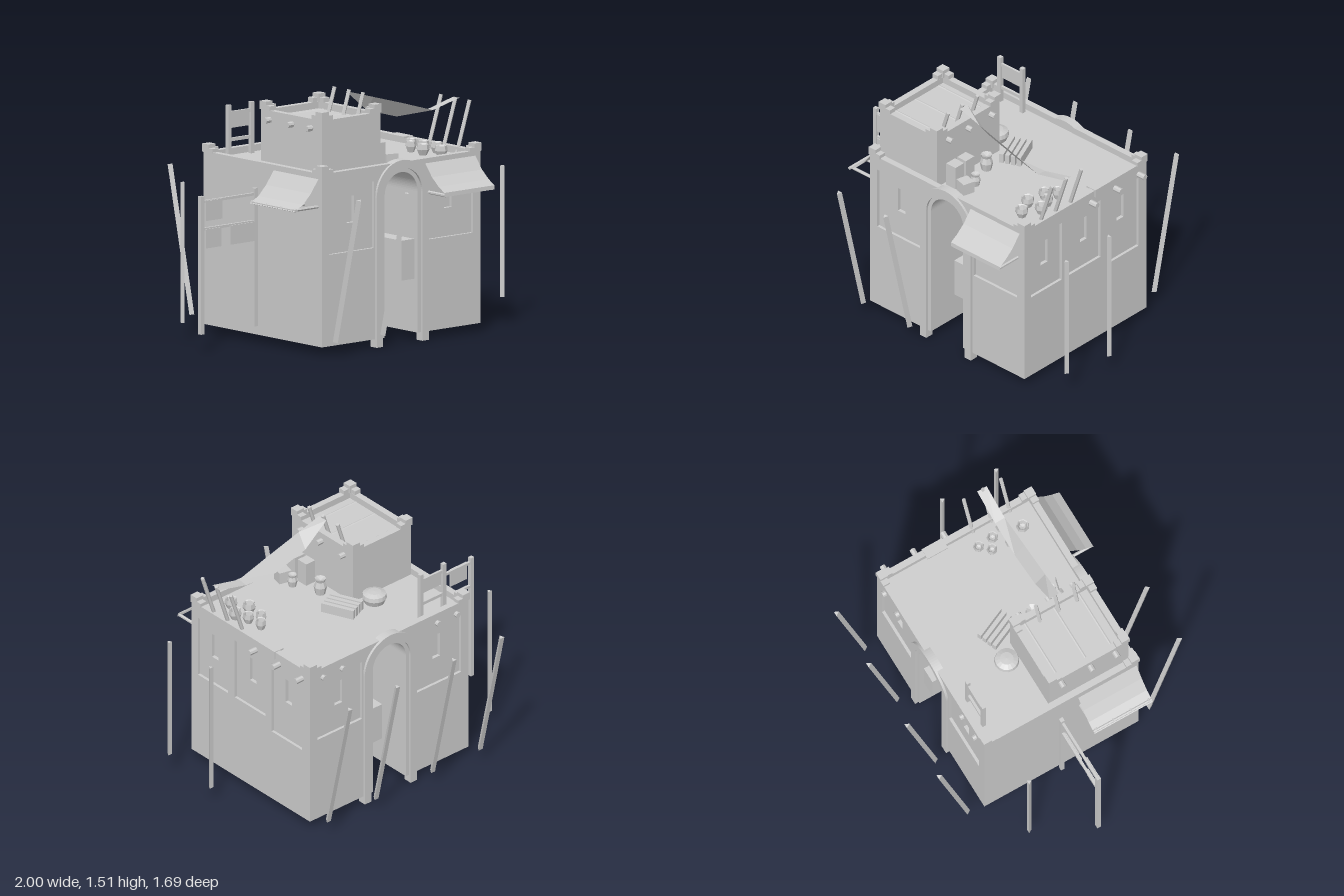
import * as THREE from 'three';

export function createModel() {
  const root = new THREE.Group();
  root.name = 'clayHouse';
  const clay = new THREE.MeshStandardMaterial({ color: 0xcccccc, flatShading: true, side: THREE.DoubleSide });
  clay.name = 'paleClay';

  const add = (name, geo) => {
    const m = new THREE.Mesh(geo, clay);
    m.name = name;
    root.add(m);
    return m;
  };
  // box given by its two extreme corners
  const box = (name, x0, x1, y0, y1, z0, z1) => {
    const m = add(name, new THREE.BoxGeometry(x1 - x0, y1 - y0, z1 - z0));
    m.position.set((x0 + x1) / 2, (y0 + y1) / 2, (z0 + z1) / 2);
    return m;
  };
  // straight pole between two points
  const pole = (name, a, b, r = 0.016, sides = 6) => {
    const A = new THREE.Vector3(...a), B = new THREE.Vector3(...b);
    const d = B.clone().sub(A);
    const m = add(name, new THREE.CylinderGeometry(r, r, d.length(), sides));
    m.position.copy(A).add(B).multiplyScalar(0.5);
    m.quaternion.setFromUnitVectors(new THREE.Vector3(0, 1, 0), d.normalize());
    return m;
  };
  // sheet stretched between two edges with equal point counts
  const cloth = (name, e0, e1) => {
    const g = new THREE.BufferGeometry(), idx = [];
    g.setAttribute('position', new THREE.Float32BufferAttribute([...e0, ...e1].flat(), 3));
    const n = e0.length;
    for (let i = 0; i < n - 1; i++) idx.push(i, i + n, i + 1, i + 1, i + n, i + n + 1);
    g.setIndex(idx);
    g.computeVertexNormals();
    return add(name, g);
  };
  const rectPath = ([x0, x1, y0, y1]) => new THREE.Path([[x0, y0], [x1, y0], [x1, y1], [x0, y1]]
    .map(p => new THREE.Vector2(...p)));
  const extrude = (shape, depth) => new THREE.ExtrudeGeometry(shape, { depth, bevelEnabled: false, curveSegments: 20 });

  // Walls: core and stacked layers, pierced by the arched passage
  const CX = 0.105, CY = 0.9, R = 0.13;
  const archWall = (name, xMax, top, z0, z1, holes = []) => {
    const s = new THREE.Shape();
    s.moveTo(-0.52, 0.05);
    s.lineTo(CX - R, 0.05);
    s.lineTo(CX - R, CY);
    s.absarc(CX, CY, R, Math.PI, 0, true);
    s.lineTo(CX + R, 0.05);
    s.lineTo(xMax, 0.05);
    s.lineTo(xMax, top);
    s.lineTo(-0.52, top);
    s.closePath();
    holes.forEach(h => s.holes.push(rectPath(h)));
    add(name, extrude(s, z1 - z0)).position.z = z0;
  };
  archWall('wallCore', 0.69, 1.05, -0.49, 0.49);
  const panels = [[-0.46, -0.11, 0.6, 1.0], [0.32, 0.67, 0.6, 1.0]];
  const slits = [[-0.31, -0.25, 0.77, 0.93], [0.46, 0.52, 0.77, 0.93]];
  archWall('frontPanelLayer', 0.73, 1.09, 0.49, 0.512, slits);
  archWall('frontWall', 0.73, 1.09, 0.512, 0.53, panels);
  archWall('backPanelLayer', 0.73, 1.09, -0.512, -0.49, slits);
  archWall('backWall', 0.73, 1.09, -0.53, -0.512, panels);

  const sideWall = (name, x, depth, holes) => {
    const s = new THREE.Shape(rectPath([-0.49, 0.49, 0.05, 1.09]).getPoints());
    holes.forEach(h => s.holes.push(rectPath(h)));
    const m = add(name, extrude(s, depth));
    m.rotation.y = Math.PI / 2;   // shape x runs towards -z
    m.position.x = x;
  };
  sideWall('sidePanelLayer', 0.69, 0.022, [-0.34, 0.0, 0.32].map(u => [u - 0.03, u + 0.03, 0.77, 0.93]));
  sideWall('sideWall', 0.712, 0.018, [[-0.475, -0.205, 0.6, 1], [-0.145, 0.13, 0.6, 1], [0.185, 0.46, 0.52, 1]]);
  box('sideParapet', -0.52, -0.48, 1.05, 1.09, -0.49, 0.49);

  // Raised arch surrounds at both ends of the passage
  for (const z of [0.49, -0.545]) {
    const s = new THREE.Shape();
    s.moveTo(CX - 0.205, 0);
    s.lineTo(CX - 0.205, CY);
    s.absarc(CX, CY, 0.205, Math.PI, 0, true);
    s.lineTo(CX + 0.205, 0);
    s.lineTo(CX + 0.155, 0);
    s.lineTo(CX + 0.155, CY);
    s.absarc(CX, CY, 0.155, 0, Math.PI, false);
    s.lineTo(CX - 0.155, 0);
    s.closePath();
    add('archSurround', extrude(s, 0.055)).position.z = z;
  }
  box('passageCounter', 0.135, 0.235, 0.37, 0.61, -0.5, 0.5);

  // Stepped corner blocks on a parapet
  const corners = (x0, x1, z0, z1, y) => {
    for (const [x, sx] of [[x0, 1], [x1, -1]]) for (const [z, sz] of [[z0, 1], [z1, -1]]) {
      const part = (a, b, h) => box('cornerBlock', Math.min(x, x + sx * a), Math.max(x, x + sx * a), y, y + h,
        Math.min(z, z + sz * b), Math.max(z, z + sz * b));
      part(0.055, 0.055, 0.05);
      part(0.09, 0.045, 0.027);
      part(0.045, 0.09, 0.027);
    }
  };
  corners(-0.525, 0.735, -0.535, 0.535, 1.085);

  // Tower with parapet
  box('towerBody', -0.48, -0.02, 1.04, 1.36, -0.06, 0.485);
  box('towerParapet', -0.48, -0.44, 1.36, 1.4, -0.06, 0.485);
  box('towerParapet', -0.06, -0.02, 1.36, 1.4, -0.06, 0.485);
  box('towerParapet', -0.44, -0.06, 1.36, 1.4, -0.06, -0.02);
  box('towerParapet', -0.44, -0.06, 1.36, 1.4, 0.445, 0.485);
  corners(-0.486, -0.015, -0.066, 0.49, 1.4);

  // Beam ends poking out of the walls
  for (const z of [0.39, 0.22, 0.02]) {
    pole('towerBeam', [-0.52, 1.345, z], [0.02, 1.345, z], 0.018, 8);
  }
  for (const z of [-0.46, -0.255, -0.045]) pole('sideBeam', [0.7, 1.025, z], [0.785, 1.025, z], 0.018, 8);
  for (const x of [-0.42, -0.27, 0.48, 0.63]) pole('backBeam', [x, 1.025, -0.5], [x, 1.025, -0.553], 0.018, 8);

  // Free poles around the house
  for (const x of [-0.49, -0.115]) pole('frontLeaningPole', [x, 0.09, 0.62], [x, 0.97, 0.83], 0.018, 3);
  for (const x of [-0.51, -0.135, 0.31, 0.685]) pole('backLeaningPole', [x, 0.09, -0.64], [x, 0.97, -0.835], 0.018, 3);
  pole('standingPole', [0.985, 0.11, 0.07], [0.985, 0.955, 0.07], 0.016, 3);
  pole('standingPole', [0.985, 0.165, 0.44], [0.985, 0.955, 0.44], 0.016, 3);
  pole('standingPole', [-0.805, 0.11, -0.39], [-0.805, 0.955, -0.39], 0.016, 3);

  // Drying rack beside the house
  for (const x of [-0.985, -0.562]) box('rackPost', x - 0.013, x + 0.013, 0.11, 0.94, -0.035, -0.01);
  for (const y of [0.905, 0.74]) box('rackRail', -0.985, -0.562, y - 0.008, y + 0.008, -0.03, -0.014);
  for (const [x0, x1, y0, y1] of [[-0.96, -0.83, 0.79, 0.91], [-0.96, -0.84, 0.625, 0.74], [-0.77, -0.58, 0.625, 0.74]])
    box('hungCloth', x0, x1, y0, y1, -0.012, -0.006);

  // Small frame on the back of the roof
  for (const x of [-0.385, -0.205]) box('roofFramePost', x - 0.013, x + 0.013, 1.05, 1.36, -0.47, -0.445);
  for (const y of [1.31, 1.15]) box('roofFrameRail', -0.385, -0.205, y - 0.01, y + 0.01, -0.465, -0.45);
  box('roofFrameCloth', -0.365, -0.225, 1.22, 1.31, -0.46, -0.453);

  // Wall awnings: distance from the wall and height
  const sag = [[0, 1.06], [0.06, 0.985], [0.12, 0.935], [0.17, 0.905], [0.172, 0.88]];
  cloth('frontAwning', sag.map(([d, y]) => [0.295, y, 0.53 + d]), sag.map(([d, y]) => [0.69, y, 0.53 + d]));
  for (const x of [0.31, 0.675]) pole('awningPole', [x, 0.887, 0.5], [x, 0.887, 0.7], 0.01);
  const sideSag = [[0, 1.06], [0.06, 0.98], [0.12, 0.92], [0.19, 0.885]];
  cloth('sideAwning', sideSag.map(([d, y]) => [-0.53 - d, y, 0.11]), sideSag.map(([d, y]) => [-0.53 - d, y, 0.51]));
  for (const z of [0.13, 0.25, 0.37, 0.49]) pole('awningPole', [-0.5, 0.89, z], [-0.71, 0.89, z], 0.01);
  pole('awningBar', [-0.705, 0.89, 0.11], [-0.705, 0.89, 0.51], 0.01);

  // Leaning poles and the sagging shade strip over the roof
  for (const z of [0.105, 0.235, 0.36]) {
    pole('towerShadePole', [-0.11, 1.3, z], [-0.045, 1.505, z], 0.012);
    pole('roofShadePole', [0.69, 1.04, z], [0.795, 1.36, z], 0.012);
  }
  cloth('shadeStrip',
    [[-0.04, 1.49, 0.265], [0.12, 1.445, 0.265], [0.36, 1.378, 0.265], [0.59, 1.31, 0.265], [0.8, 1.36, 0.265]],
    [[-0.04, 1.49, 0.2], [0.125, 1.355, 0.2], [0.36, 1.29, 0.2], [0.59, 1.302, 0.2], [0.8, 1.355, 0.2]]);

  // Crates
  box('crate', 0.0, 0.075, 1.05, 1.2, 0.35, 0.425);
  box('crate', 0.0, 0.07, 1.05, 1.2, 0.255, 0.33);
  box('crate', 0.09, 0.17, 1.05, 1.125, 0.36, 0.435).rotation.y = -0.25;

  // Barrel, jars and bowls
  const lathe = (name, pts, x, z, sides) => {
    const m = add(name, new THREE.LatheGeometry(pts.map(p => new THREE.Vector2(...p)), sides));
    m.position.set(x, 1.05, z);
  };
  lathe('barrel', [[0, 0], [0.06, 0], [0.075, 0.035], [0.07, 0.06], [0.04, 0.072], [0, 0.075]], -0.12, -0.14, 16);
  lathe('jar', [[0, 0], [0.03, 0], [0.04, 0.05], [0.028, 0.085], [0.035, 0.105], [0, 0.09]], 0.06, 0.14, 8);
  lathe('jar', [[0, 0], [0.022, 0], [0.031, 0.04], [0.022, 0.065], [0.027, 0.08], [0, 0.07]], 0.13, 0.31, 8);
  for (const [x, z, r] of [[0.58, 0.08, 0.033], [0.525, 0.14, 0.033], [0.59, 0.18, 0.035],
    [0.51, 0.265, 0.04], [0.62, 0.265, 0.04], [0.56, 0.37, 0.04]])
    lathe('bowl', [[0, 0], [r * 0.6, 0], [r, 0.035], [r * 0.9, 0.065], [r * 0.75, 0.06], [r * 0.5, 0.03], [0, 0.025]], x, z, 7);

  // Stacked planks and a small board resting on the parapet
  for (let i = 0; i < 4; i++) {
    const m = add('plank', new THREE.BoxGeometry(0.026, 0.06, 0.21));
    m.position.set(0.035 + i * 0.034, 1.08, -0.065 - i * 0.014);
    m.rotation.y = 0.42;
  }
  box('parapetBoard', 0.665, 0.735, 1.085, 1.095, -0.22, -0.08);
  box('parapetFlap', 0.73, 0.736, 1.045, 1.095, -0.22, -0.08);

  return root;
}
